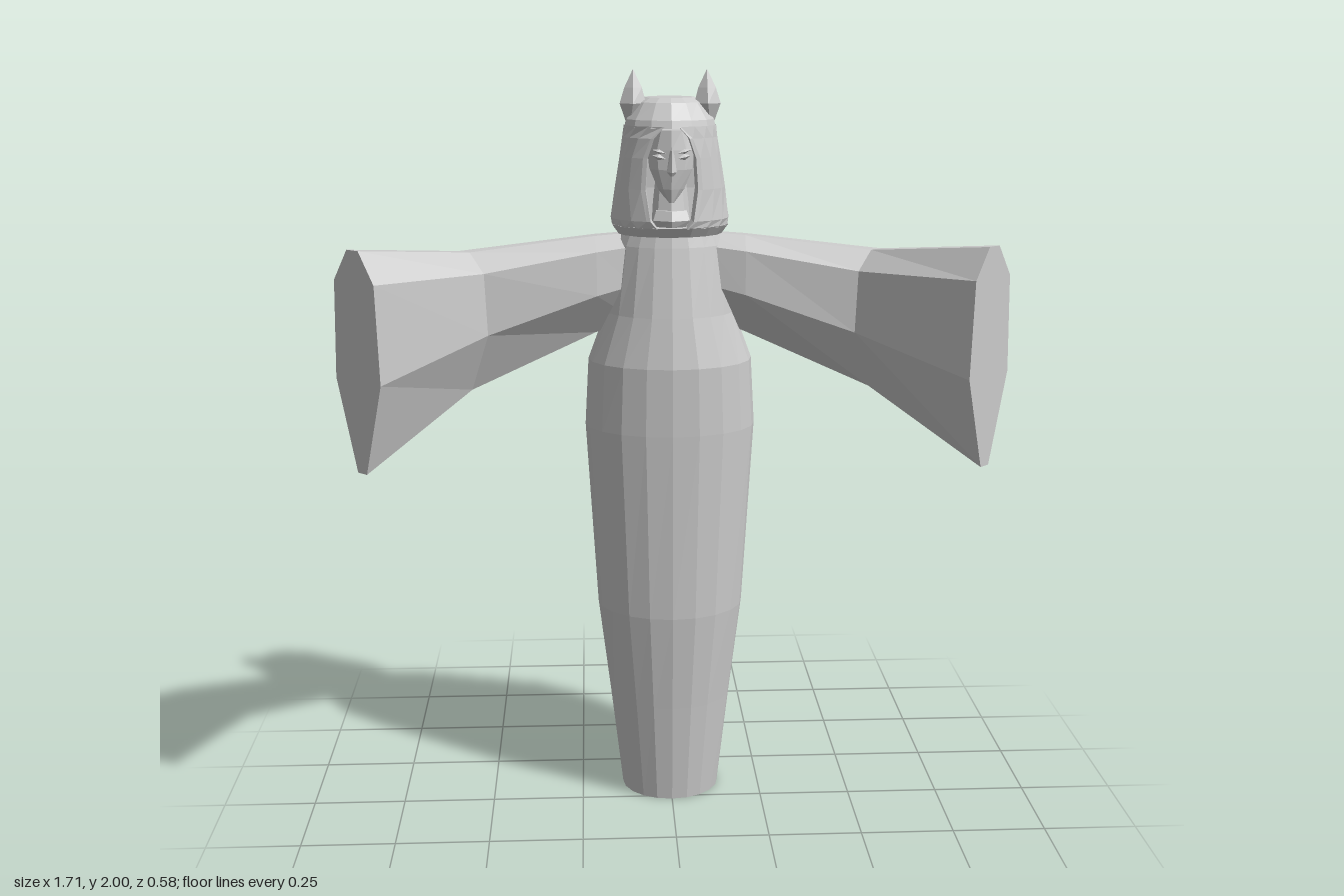
import * as THREE from 'three';

const material = new THREE.MeshStandardMaterial({ color: 0xcccccc, flatShading: true, side: THREE.DoubleSide });

// Skin a list of equal-length rings (each counter-clockwise seen from the far end)
function loft(name, rings, { closed = true, capStart = true, capEnd = true } = {}) {
  const n = rings[0].length, pos = [], idx = [];
  rings.forEach(r => r.forEach(p => pos.push(...p)));
  const spans = closed ? n : n - 1;
  for (let i = 0; i < rings.length - 1; i++) {
    for (let j = 0; j < spans; j++) {
      const k = (j + 1) % n;
      const a = i * n + j, b = i * n + k, c = (i + 1) * n + k, d = (i + 1) * n + j;
      idx.push(a, b, c, a, c, d);
    }
  }
  const cap = (row, flip) => {
    const ring = rings[row], centre = pos.length / 3;
    pos.push(...[0, 1, 2].map(q => ring.reduce((s, p) => s + p[q], 0) / n));
    for (let j = 0; j < n; j++) {
      const a = row * n + j, b = row * n + (j + 1) % n;
      flip ? idx.push(centre, b, a) : idx.push(centre, a, b);
    }
  };
  if (capStart) cap(0, true);
  if (capEnd) cap(rings.length - 1, false);
  const geo = new THREE.BufferGeometry();
  geo.setAttribute('position', new THREE.Float32BufferAttribute(pos, 3));
  geo.setIndex(idx);
  const flat = geo.toNonIndexed();
  flat.computeVertexNormals();
  const mesh = new THREE.Mesh(flat, material);
  mesh.name = name;
  return mesh;
}

// Horizontal ellipse starting at the front
function ellipse([y, rx, zc, rz, xc = 0], n) {
  return Array.from({ length: n }, (_, i) => {
    const a = i / n * Math.PI * 2;
    return [xc + rx * Math.sin(a), y, zc + rz * Math.cos(a)];
  });
}

// Bell sleeve: tall octagonal sections, bent forward at the elbow
function sleeve(s) {
  // centre x, centre z, outward half-width (x, z), top, bottom
  const sections = [
    [0.10, -0.115, 0.00, -0.075, 1.58, 1.35],
    [0.20, -0.105, 0.005, -0.09, 1.573, 1.315],
    [0.54, -0.035, 0.06, -0.06, 1.54, 1.175],
    [0.793, 0.225, 0.0625, -0.06, 1.58, 1.015]
  ];
  const outline = [[0.2, 0], [1, 0.42], [0.88, 0.86], [0.25, 1], [-0.25, 1], [-0.88, 0.86], [-1, 0.42], [-0.2, 0]];
  const rings = sections.map(([x, z, ux, uz, top, bottom]) => {
    const ring = outline.map(([u, v]) => [s * (x + u * ux), bottom + v * (top - bottom), z + u * uz]);
    return s > 0 ? ring : ring.reverse();
  });
  return loft(s > 0 ? 'leftSleeve' : 'rightSleeve', rings);
}

// Hood with an arched opening at the front and a recessed rim
function hood() {
  // y, rx, centre z, rz, half-width of opening
  const levels = [
    [1.60, 0.153, -0.11, 0.132, 0.045],
    [1.62, 0.157, -0.11, 0.135, 0.066],
    [1.70, 0.146, -0.108, 0.126, 0.080],
    [1.78, 0.133, -0.106, 0.118, 0.074],
    [1.83, 0.125, -0.106, 0.112, 0.054],
    [1.86, 0.121, -0.106, 0.108, 0.022]
  ];
  const n = 18;
  const rings = levels.map(([y, rx, zc, rz, w]) => {
    const a0 = Math.asin(w / rx), ring = [];
    for (let i = 0; i <= n; i++) {
      const a = a0 + (Math.PI * 2 - 2 * a0) * i / n;
      ring.push([rx * Math.sin(a), y, zc + rz * Math.cos(a)]);
    }
    const rim = ring[0][2];
    ring.unshift([w * 0.82, y, rim - 0.012], [w * 0.85, y, rim + 0.004]);
    ring.unshift([w * 0.8, y, rim - 0.07]);
    ring.push([-w * 0.85, y, rim + 0.004], [-w * 0.82, y, rim - 0.012], [-w * 0.8, y, rim - 0.07]);
    return ring;
  });
  const group = new THREE.Group();
  group.name = 'hood';
  group.add(loft('hoodShell', rings, { closed: true, capStart: false, capEnd: false }));
  group.add(loft('hoodHem', [[1.578, 0.138, -0.11, 0.118], [1.603, 0.156, -0.11, 0.134]].map(r => ellipse(r, 18))));
  group.add(loft('hoodCrown', [
    [1.855, 0.121, -0.106, 0.108], [1.875, 0.117, -0.108, 0.104],
    [1.918, 0.088, -0.118, 0.084], [1.93, 0.066, -0.122, 0.066]
  ].map(r => ellipse(r, 14)), { capStart: false }));
  return group;
}

// Pointed animal ear with a diamond section
function ear(s) {
  return loft(s > 0 ? 'leftEar' : 'rightEar', [
    [1.855, 0.006, -0.10, 0.006, s * 0.105],
    [1.915, 0.036, -0.10, 0.040, s * 0.097],
    [1.955, 0.024, -0.10, 0.022, s * 0.096],
    [2.0, 0.001, -0.10, 0.001, s * 0.096]
  ].map(r => ellipse(r, 5)));
}

function face() {
  const group = new THREE.Group();
  group.name = 'face';
  // Narrow head tapering to the chin
  group.add(loft('head', [
    [1.665, 0.008, -0.03, 0.014], [1.70, 0.036, -0.05, 0.042], [1.75, 0.058, -0.06, 0.058],
    [1.80, 0.064, -0.065, 0.060], [1.85, 0.045, -0.065, 0.055]
  ].map(r => ellipse(r, 10))));
  group.add(loft('neck', [[1.59, 0.055, -0.06, 0.055], [1.72, 0.04, -0.07, 0.04]].map(r => ellipse(r, 8))));
  group.add(loft('collar', [
    [1.60, 0.04, -0.04, 0.045], [1.62, 0.055, -0.04, 0.055], [1.645, 0.046, -0.045, 0.046]
  ].map(r => ellipse(r, 6))));
  // Nose wedge
  group.add(loft('nose', [
    [1.735, 0.004, 0.000, 0.004], [1.745, 0.013, 0.000, 0.013], [1.80, 0.005, -0.008, 0.007]
  ].map(r => ellipse(r, 4))));
  // Brows and eyes slanting toward the nose
  for (const s of [1, -1]) {
    const side = s > 0 ? 'left' : 'right';
    for (const [part, y, h] of [['Brow', 1.797, 0.006], ['Eye', 1.783, 0.008]]) {
      const m = new THREE.Mesh(new THREE.OctahedronGeometry(1), material);
      m.name = side + part;
      m.scale.set(0.020, h, 0.008);
      m.position.set(s * 0.033, y, -0.013);
      m.rotation.set(0, s * 0.45, s * 0.2);
      group.add(m);
    }
  }
  return group;
}

export function createModel() {
  const model = new THREE.Group();
  model.name = 'hoodedFigure';

  // Long robe: y, rx, centre z, rz
  model.add(loft('robe', [
    [0, 0.135, -0.108, 0.128],
    [0.28, 0.167, -0.110, 0.152],
    [0.55, 0.200, -0.110, 0.175],
    [1.06, 0.230, -0.112, 0.180],
    [1.24, 0.220, -0.113, 0.178],
    [1.37, 0.172, -0.111, 0.152],
    [1.55, 0.145, -0.110, 0.116],
    [1.585, 0.130, -0.110, 0.108]
  ].map(r => ellipse(r, 20))));

  model.add(hood(), face());
  for (const s of [1, -1]) model.add(sleeve(s), ear(s));
  return model;
}
